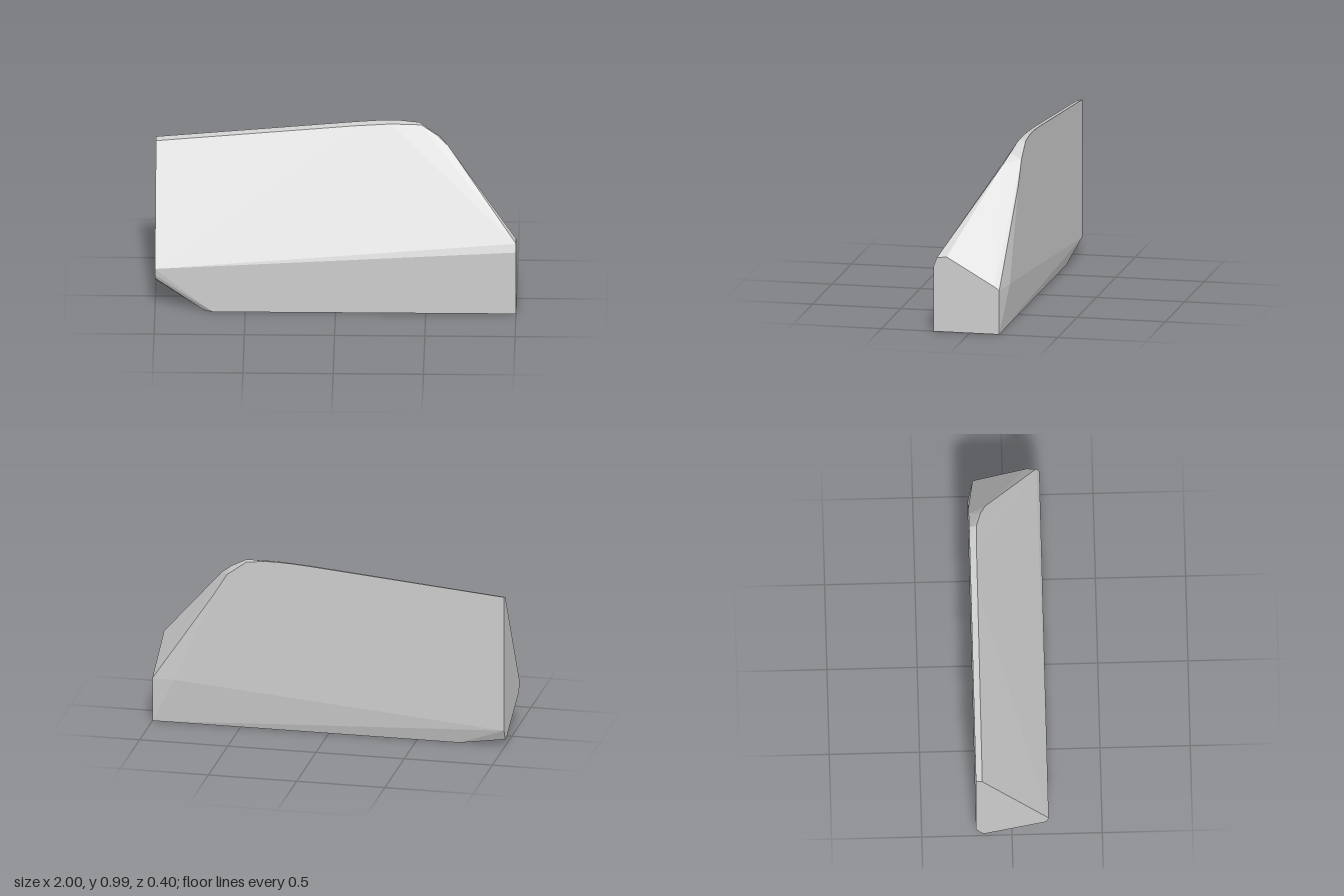
import * as THREE from 'three';
import { ConvexGeometry } from 'three/addons/geometries/ConvexGeometry.js';

// Faceted wedge block: the convex skin over a few outlines
export function createModel() {
  const group = new THREE.Group();
  group.name = 'wedgeBlock';
  const stone = new THREE.MeshStandardMaterial({ color: 0xcccccc });
  stone.name = 'lightGrey';

  // right end, as [z, y] at x = 1
  const rightEnd = [[0.203, 0], [0.203, 0.375], [0.185, 0.42], [0.13, 0.426],
    [-0.14, 0.27], [-0.168, 0.25], [-0.168, 0]];
  // left end, as [z, y] at x = -1
  const leftEnd = [[0.203, 0.26], [0.197, 0.22], [0.185, 0.195], [-0.14, 0.035],
    [-0.165, 0.037], [-0.2, 0.1], [-0.2, 0.882], [-0.165, 0.872]];
  // flat back, as [x, y] at z = -0.2
  const back = [[0.1, 0.981], [0.22, 0.99], [0.35, 0.992], [0.46, 0.98],
    [0.57, 0.9], [0.65, 0.77], [0.87, 0.26]];
  // rounded upper shoulder and lower left corner, as [x, y, z]
  const edges = [[0.1, 0.972, -0.163], [0.3, 0.985, -0.163], [0.47, 0.982, -0.16],
    [0.56, 0.93, -0.135], [0.62, 0.88, -0.108],
    [-0.68, 0, 0.203], [-0.73, 0, 0.18], [-0.77, 0, -0.12], [-0.74, 0, -0.168]];

  const points = [
    ...rightEnd.map(([z, y]) => new THREE.Vector3(1, y, z)),
    ...leftEnd.map(([z, y]) => new THREE.Vector3(-1, y, z)),
    ...back.map(([x, y]) => new THREE.Vector3(x, y, -0.2)),
    ...edges.map((p) => new THREE.Vector3(...p)),
  ];

  const body = new THREE.Mesh(new ConvexGeometry(points), stone);
  body.name = 'body';
  group.add(body);
  return group;
}
